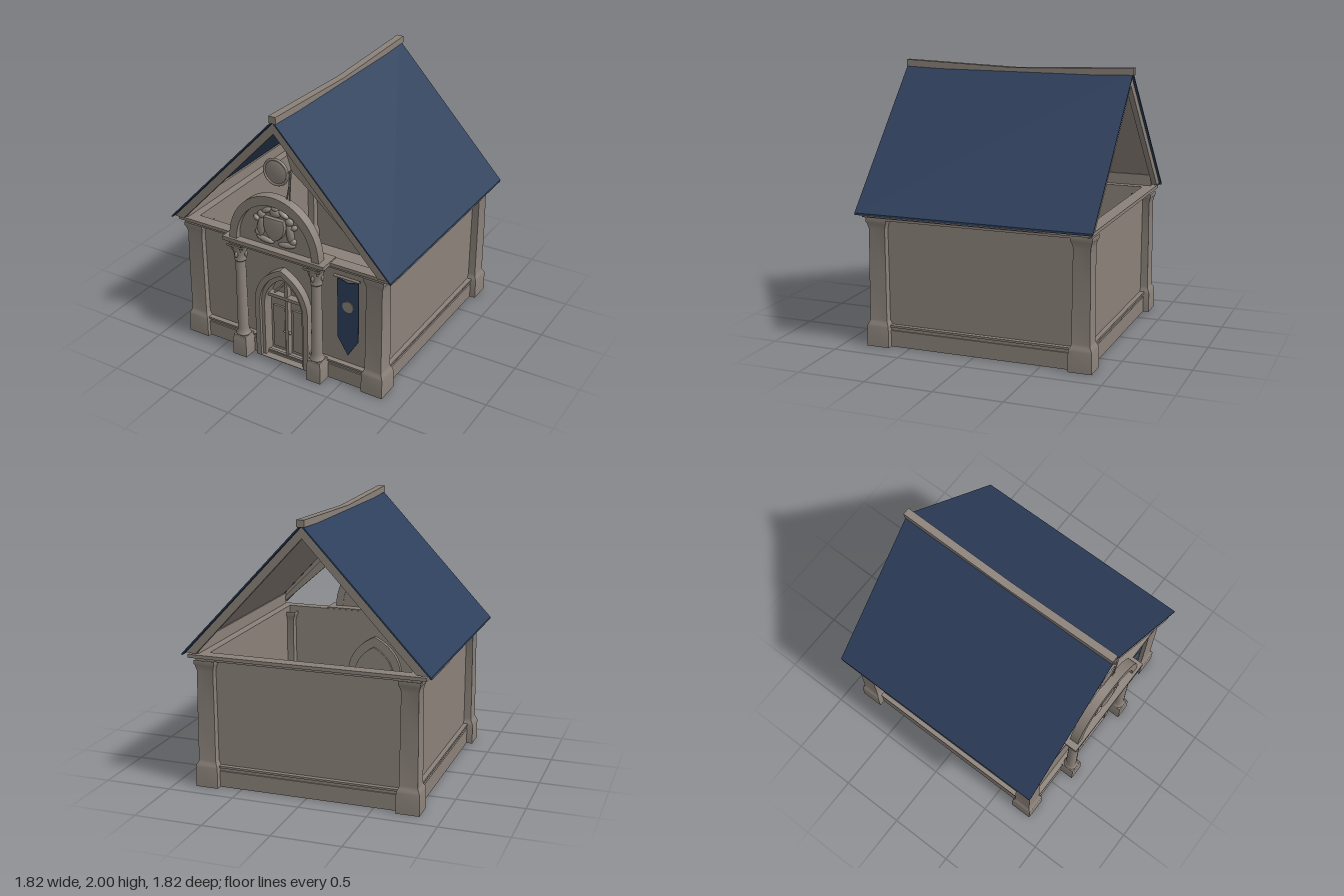
import * as THREE from 'three';
import { toCreasedNormals } from 'three/addons/utils/BufferGeometryUtils.js';

export function createModel() {
  const root = new THREE.Group();
  root.name = 'chapel';
  const stone = new THREE.MeshStandardMaterial({ color: 0x8a8179 });
  stone.name = 'stone';
  const blue = new THREE.MeshStandardMaterial({ color: 0x2d3f5b });
  blue.name = 'slate blue';

  const add = (name, geo, mat = stone, x = 0, y = 0, z = 0, parent = root) => {
    const m = new THREE.Mesh(geo, mat);
    m.name = name;
    m.position.set(x, y, z);
    parent.add(m);
    return m;
  };
  // box given by its lower and upper limits
  const box = (name, x0, x1, y0, y1, z0, z1, mat = stone) =>
    add(name, new THREE.BoxGeometry(x1 - x0, y1 - y0, z1 - z0), mat,
      (x0 + x1) / 2, (y0 + y1) / 2, (z0 + z1) / 2);
  const poly = (pts) => new THREE.Shape(pts.map(([x, y]) => new THREE.Vector2(x, y)));
  // outline in the xy plane, extruded from z0 to z1
  const slab = (name, shape, z0, z1, mat = stone, bevel = 0) => {
    const geo = new THREE.ExtrudeGeometry(shape, {
      depth: z1 - z0 - 2 * bevel, curveSegments: 16, bevelEnabled: bevel > 0,
      bevelSize: bevel, bevelThickness: bevel, bevelOffset: -bevel, bevelSegments: 2,
    });
    return add(name, toCreasedNormals(geo, 0.6), mat, 0, 0, z0 + bevel);
  };
  // turned profile, round or (with 4 sides) square
  const lathe = (pts, n) => {
    const k = n === 4 ? Math.SQRT2 : 1;
    return toCreasedNormals(new THREE.LatheGeometry(
      pts.map(([r, y]) => new THREE.Vector2(r * k, y)), n, Math.PI / 4), 0.6);
  };
  // pointed gothic arch outline
  const gothic = (w, spring, apex, Type = THREE.Shape, y0 = 0) => {
    const s = new Type();
    const k = spring + (apex - spring) * 0.68;
    s.moveTo(-w, y0);
    s.lineTo(w, y0);
    s.lineTo(w, spring);
    s.quadraticCurveTo(w * 0.93, k, 0, apex);
    s.quadraticCurveTo(-w * 0.93, k, -w, spring);
    s.lineTo(-w, y0);
    return s;
  };
  const halfOval = (rx, ry, y0, Type = THREE.Shape) => {
    const s = new Type();
    s.moveTo(rx, y0);
    s.absellipse(0, y0, rx, ry, 0, Math.PI, false);
    s.lineTo(rx, y0);
    return s;
  };

  // floor and thin walls
  box('floor', -0.78, 0.78, 0.005, 0.02, -0.81, 0.76);
  const front = poly([[-0.76, 0.02], [0.76, 0.02], [0.76, 0.96], [-0.76, 0.96]]);
  front.holes.push(gothic(0.165, 0.46, 0.71, THREE.Path, 0.03));
  slab('frontWall', front, 0.735, 0.755);
  box('backWall', -0.76, 0.76, 0.02, 0.96, -0.805, -0.785);
  for (const s of [-1, 1]) {
    box('sideWall', s * 0.755 - 0.01, s * 0.755 + 0.01, 0.02, 0.96, -0.79, 0.74);
    // strip closing the gap under the eaves
    box('eavesStrip', s * 0.815 - 0.008, s * 0.815 + 0.008, 0.98, 1.075, -0.84, 0.8);
    // plinths with a stepped moulding on top
    for (const [h0, h1, o] of [[0, 0.12, 0.035], [0.12, 0.145, 0.025], [0.145, 0.16, 0.04]]) {
      const mid = s * (0.76 + o / 2);
      box('sidePlinth', mid - o / 2, mid + o / 2, h0, h1, -0.79, 0.74);
      box('frontPlinth', s * 0.46 - 0.25, s * 0.46 + 0.25, h0, h1, 0.74, 0.755 + o);
      if (s > 0) box('backPlinth', -0.75, 0.75, h0, h1, -0.8 - o, -0.79);
    }
  }

  // cornice around the wall tops
  for (const [y0, y1, o] of [[0.94, 0.965, 0], [0.965, 0.99, 0.04]]) {
    for (const s of [-1, 1])
      box('sideCornice', s * (0.79 + o / 2) - 0.045 - o / 2, s * (0.79 + o / 2) + 0.045 + o / 2,
        y0, y1, -0.84 - o, 0.8 + o / 2);
    box('frontCornice', -0.75, 0.75, y0, y1, 0.735, 0.8 + o / 2);
    box('backCornice', -0.75, 0.75, y0, y1, -0.84 - o, -0.785);
  }

  // square corner pillars with pedestal and capital
  const cornerProfile = [[0, 0], [0.086, 0], [0.084, 0.15], [0.08, 0.165], [0.069, 0.185],
    [0.066, 0.2], [0.065, 0.55], [0.062, 0.87], [0.072, 0.91], [0.078, 0.92], [0.078, 0.95]];
  for (const x of [-0.755, 0.755]) for (const z of [0.735, -0.795])
    add('cornerPillar', lathe(cornerProfile, 4), stone, x, 0, z);

  // porch columns with leafy capitals
  const shaftProfile = [[0.052, 0.17], [0.056, 0.18], [0.045, 0.2], [0.042, 0.23],
    [0.038, 0.8], [0.046, 0.81], [0.042, 0.825], [0.048, 0.87], [0.062, 0.94]];
  const pedestalProfile = [[0, 0], [0.06, 0], [0.058, 0.13], [0.055, 0.14], [0.052, 0.172], [0, 0.172]];
  const abacusProfile = [[0.062, 0.925], [0.068, 0.935], [0.068, 0.95]];
  for (const x of [-0.32, 0.32]) {
    const g = new THREE.Group();
    g.name = 'porchColumn';
    g.position.set(x, 0, 0.84);
    root.add(g);
    add('shaft', lathe(shaftProfile, 16), stone, 0, 0, 0, g);
    add('pedestal', lathe(pedestalProfile, 4), stone, 0, 0, 0, g);
    add('abacus', lathe(abacusProfile, 4), stone, 0, 0, 0, g);
    for (let i = 0; i < 8; i++) {
      const a = i * Math.PI / 4;
      const leaf = add('leaf', new THREE.SphereGeometry(0.013, 8, 6), stone,
        Math.cos(a) * 0.05, i % 2 ? 0.91 : 0.865, Math.sin(a) * 0.05, g);
      leaf.scale.y = 1.8;
    }
  }
  box('porchBeam', -0.38, 0.38, 0.945, 0.97, 0.74, 0.89);
  box('porchCornice', -0.42, 0.42, 0.97, 1.0, 0.74, 0.91);

  // round pediment over the porch
  const rim = halfOval(0.37, 0.41, 1.0);
  rim.holes.push(halfOval(0.31, 0.34, 1.0, THREE.Path));
  slab('pedimentRim', rim, 0.82, 0.89);
  slab('pedimentPanel', halfOval(0.33, 0.36, 1.0), 0.825, 0.85);

  // carved relief: shield, side scrolls, leaves and crest
  const shield = new THREE.Shape();
  shield.moveTo(-0.08, 1.24);
  shield.lineTo(0.08, 1.24);
  shield.bezierCurveTo(0.1, 1.15, 0.07, 1.09, 0, 1.06);
  shield.bezierCurveTo(-0.07, 1.09, -0.1, 1.15, -0.08, 1.24);
  slab('reliefShield', shield, 0.845, 0.882, stone, 0.01);
  const lump = (x, y, rx, ry, rot = 0) => {
    const m = add('reliefCarving', new THREE.SphereGeometry(1, 12, 8), stone, x, y, 0.85);
    m.scale.set(rx, ry, 0.025);
    m.rotation.z = rot;
  };
  lump(0, 1.275, 0.045, 0.035);
  lump(0, 1.31, 0.03, 0.02);
  for (const s of [-1, 1]) {
    lump(s * 0.12, 1.14, 0.032, 0.085, s * 0.15);
    lump(s * 0.115, 1.235, 0.034, 0.03);
    lump(s * 0.155, 1.2, 0.028, 0.02, s * 0.6);
    lump(s * 0.07, 1.28, 0.045, 0.02, -s * 0.5);
    lump(s * 0.09, 1.045, 0.075, 0.022, s * 0.15);
    lump(s * 0.145, 1.09, 0.026, 0.026);
  }

  // pointed door surround in two steps
  for (const [w, sp, ap, iw, isp, iap, z] of [
    [0.225, 0.49, 0.79, 0.185, 0.47, 0.745, 0.815], [0.195, 0.475, 0.75, 0.16, 0.455, 0.7, 0.79]]) {
    const frame = gothic(w, sp, ap);
    frame.holes.push(gothic(iw, isp, iap, THREE.Path, 0.004));
    slab('doorSurround', frame, 0.7, z);
  }
  // door leaves, transom and window bars
  slab('doorBacking', gothic(0.17, 0.46, 0.71, THREE.Shape, 0.02), 0.68, 0.7);
  box('transom', -0.165, 0.165, 0.505, 0.53, 0.69, 0.755);
  box('mullion', -0.012, 0.012, 0.02, 0.7, 0.69, 0.745);
  for (const s of [-1, 1]) {
    box('doorPanel', s * 0.085 - 0.05, s * 0.085 + 0.05, 0.05, 0.41, 0.695, 0.715);
    const bar = box('windowBar', -0.008, 0.008, -0.08, 0.08, 0.69, 0.73);
    bar.position.set(s * 0.06, 0.59, 0.71);
    bar.rotation.z = s * 0.7;
    add('doorKnob', new THREE.SphereGeometry(0.012, 10, 8), stone, s * 0.022, 0.22, 0.735);
  }

  // hanging banner
  slab('banner', poly([[0.46, 0.87], [0.46, 0.39], [0.547, 0.25], [0.63, 0.39], [0.63, 0.87],
    [0.59, 0.865], [0.545, 0.85], [0.5, 0.865]]), 0.785, 0.793, blue);
  add('bannerBadge', new THREE.CylinderGeometry(0.045, 0.045, 0.006, 12).rotateX(Math.PI / 2), stone, 0.548, 0.66, 0.796);
  add('bannerRod', new THREE.CylinderGeometry(0.01, 0.01, 0.21, 10).rotateZ(Math.PI / 2), stone, 0.53, 0.882, 0.785);

  // thin roof slopes, partly lined underneath
  const slope = (s, a, b) => poly([[s * 0.91, 1.0 - a], [0, 1.97 - a], [0, 1.97 - b], [s * 0.91, 1.0 - b]]);
  for (const s of [-1, 1]) slab('roofSlope', slope(s, 0, 0.015), -0.9, 0.86, blue);
  slab('roofLining', slope(-1, 0.016, 0.022), -0.88, -0.42);
  slab('roofLining', slope(1, 0.016, 0.022), -0.55, 0.8);

  // gable trim, with the sagging board at the front
  const rake = (s) => poly([[s * 0.885, 1.005], [0, 1.95], [0, 1.87], [s * 0.81, 1.0]]);
  for (const s of [-1, 1]) {
    slab('gableTrim', rake(s), 0.81, 0.85);
    slab('gableTrim', rake(s), -0.885, -0.845);
  }
  slab('saggingTrim', poly([[0, 1.935], [0, 1.87], [0.06, 1.79], [0.115, 1.61], [0.23, 1.52],
    [0.82, 1.0], [0.86, 1.0], [0.3, 1.57], [0.15, 1.76]]), 0.79, 0.815);

  // ridge beam, dipping in the middle
  const ridge = new THREE.BoxGeometry(0.055, 0.05, 1.77, 1, 1, 16);
  const p = ridge.attributes.position;
  for (let i = 0; i < p.count; i++) {
    const t = p.getZ(i) / 0.885;
    p.setY(i, p.getY(i) - 0.03 * (1 - Math.abs(t)));
  }
  ridge.computeVertexNormals();
  add('ridgeBeam', ridge, stone, 0, 1.975, -0.025);

  // round dish in the gable with its hanging straps
  add('dishRim', new THREE.TorusGeometry(0.094, 0.01, 10, 32), stone, 0, 1.58, 0.83);
  const dish = add('dish', new THREE.SphereGeometry(0.094, 24, 12), stone, 0, 1.58, 0.825);
  dish.scale.z = 0.2;
  const strap = (...pts) => add('strap', new THREE.TubeGeometry(
    new THREE.CatmullRomCurve3(pts.map(([x, y]) => new THREE.Vector3(x, y, 0.83))), 10, 0.006, 6), stone);
  strap([0.115, 1.62], [0.105, 1.5], [0.08, 1.38]);
  strap([0.12, 1.61], [0.112, 1.5], [0.105, 1.36]);
  strap([0.08, 1.56], [0.1, 1.6], [0.13, 1.63]);

  return root;
}
